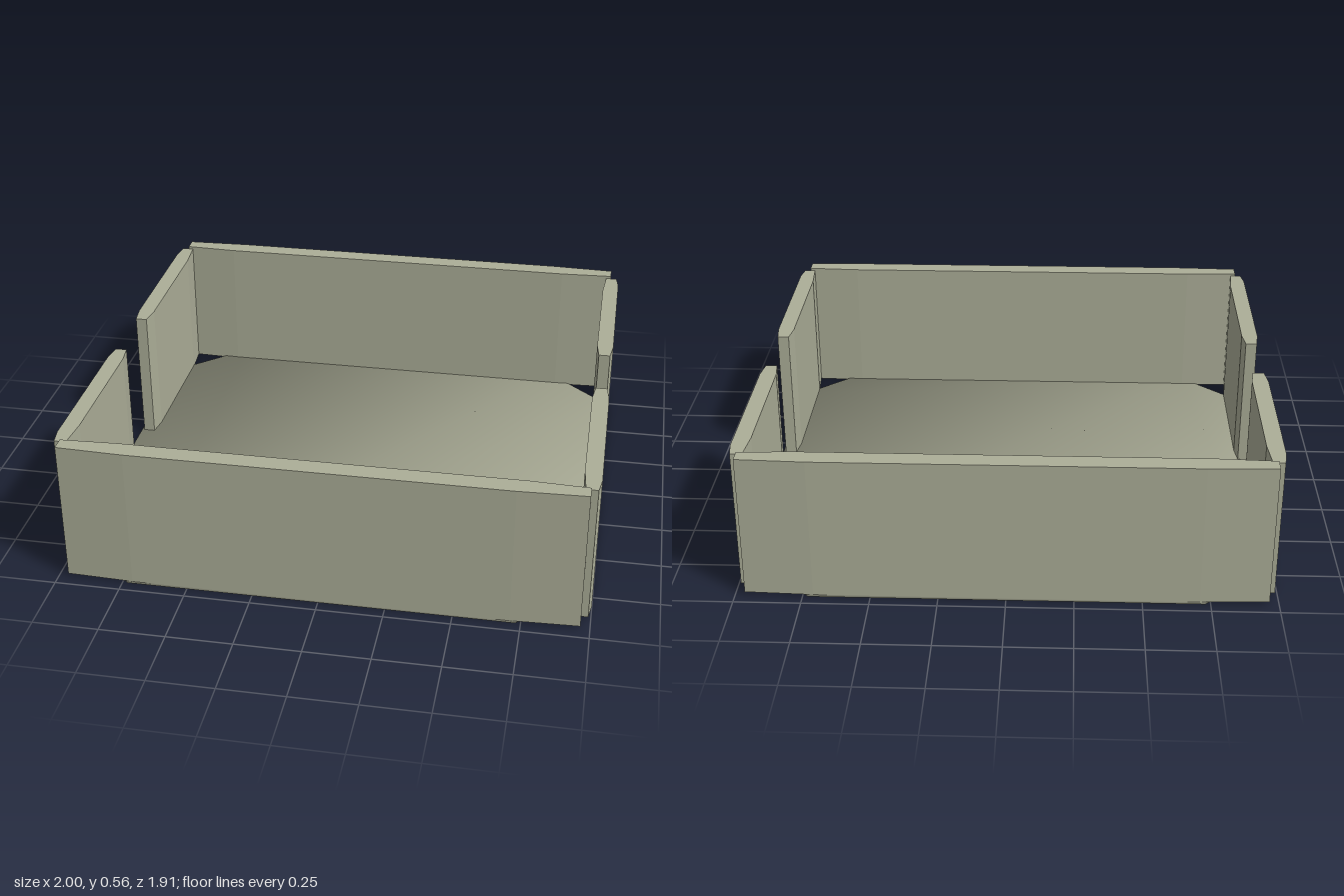
import * as THREE from 'three';

const paint = new THREE.MeshStandardMaterial({ color: 0xacae98 });
paint.name = 'dull olive';

// Upright wall from a plan outline of [x, z] points
function wall(name, outline, bottom, top) {
  const shape = new THREE.Shape(outline.map(([x, z]) => new THREE.Vector2(x, -z)));
  const geometry = new THREE.ExtrudeGeometry(shape, { depth: top - bottom, bevelEnabled: false });
  geometry.rotateX(-Math.PI / 2).translate(0, bottom, 0);
  const mesh = new THREE.Mesh(geometry, paint);
  mesh.name = name;
  return mesh;
}

// Thin octagonal slab whose corner normals are shared by top, bottom and rim
function floorSlab(thickness) {
  const rim = [[-0.73, 0.955], [0.73, 0.955], [1, 0.71], [1, -0.71],
    [0.73, -0.955], [-0.73, -0.955], [-1, -0.71], [-1, 0.71]];
  const n = rim.length;
  const positions = [], normals = [], index = [];
  for (const side of [1, -1]) {
    for (const [x, z] of rim) {
      positions.push(x, side > 0 ? thickness : 0, z);
      const out = new THREE.Vector2(x, z).normalize().multiplyScalar(1.3);
      normals.push(...new THREE.Vector3(out.x, side, out.y).normalize().toArray());
    }
  }
  for (let i = 1; i < n - 1; i++) {
    index.push(0, i, i + 1, n, n + i + 1, n + i);
  }
  for (let i = 0; i < n; i++) {
    const j = (i + 1) % n;
    index.push(n + i, n + j, j, n + i, j, i);
  }
  const geometry = new THREE.BufferGeometry();
  geometry.setAttribute('position', new THREE.Float32BufferAttribute(positions, 3));
  geometry.setAttribute('normal', new THREE.Float32BufferAttribute(normals, 3));
  geometry.setIndex(index);
  const mesh = new THREE.Mesh(geometry, paint);
  mesh.name = 'floor';
  return mesh;
}

export function createModel() {
  const model = new THREE.Group();
  model.name = 'openTray';
  model.add(floorSlab(0.016));

  // Long walls, slightly thinner towards their ends
  const longOutline = [[-0.965, 0.947], [-0.71, 0.957], [0.71, 0.957], [0.965, 0.947],
    [0.965, 0.89], [0.75, 0.88], [-0.75, 0.88], [-0.965, 0.89]];
  for (const s of [1, -1]) {
    model.add(wall(s > 0 ? 'frontWall' : 'backWall',
      longOutline.map(([x, z]) => [x, s * z]), 0.01, 0.565));
  }

  // Side walls, each split by a central gap
  const sideOutline = [[0.945, 0.14], [0.99, 0.14], [1, 0.22], [1, 0.82],
    [0.99, 0.887], [0.945, 0.887], [0.935, 0.76], [0.935, 0.22]];
  for (const sx of [1, -1]) {
    for (const sz of [1, -1]) {
      const name = (sx > 0 ? 'left' : 'right') + (sz > 0 ? 'Front' : 'Back') + 'SideWall';
      model.add(wall(name, sideOutline.map(([x, z]) => [sx * x, sz * z]), 0.01, 0.555));
    }
  }
  return model;
}
